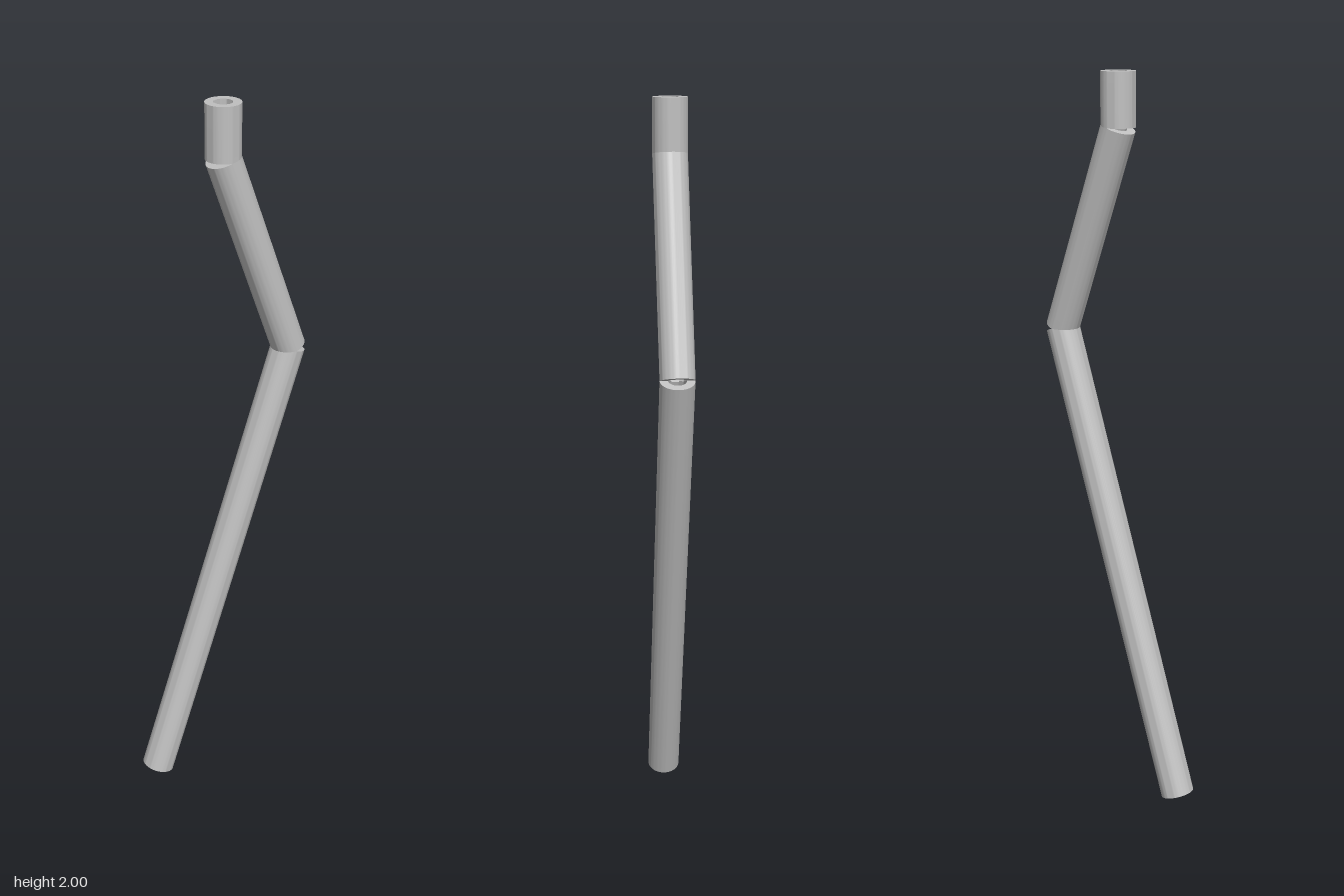
import * as THREE from 'three';
import { toCreasedNormals } from 'three/addons/utils/BufferGeometryUtils.js';

const OUTER = 0.046;
const INNER = 0.024;

// Hollow straight pipe with square-cut ends, running from a to b
function pipe(name, a, b, material) {
  const dir = b.clone().sub(a);
  const len = dir.length();
  const profile = [[OUTER, 0], [OUTER, len], [INNER, len], [INNER, 0], [OUTER, 0]]
    .map(([r, y]) => new THREE.Vector2(r, y));
  const geometry = toCreasedNormals(new THREE.LatheGeometry(profile, 64), Math.PI / 4);
  const mesh = new THREE.Mesh(geometry, material);
  mesh.name = name;
  mesh.position.copy(a);
  mesh.quaternion.setFromUnitVectors(new THREE.Vector3(0, 1, 0), dir.normalize());
  return mesh;
}

export function createModel() {
  const group = new THREE.Group();
  group.name = 'bentPipe';
  const metal = new THREE.MeshStandardMaterial({ color: 0xc0c0c0 });
  metal.name = 'light grey metal';

  // Centreline joints, bottom to top
  const foot = new THREE.Vector3(-0.055, 0.014, 0.202);
  const elbow = new THREE.Vector3(0.055, 1.307, -0.203);
  const neck = new THREE.Vector3(0.003, 1.858, -0.01);
  const top = new THREE.Vector3(0.003, 2, -0.01);

  // Square-cut sections meet on the centreline, leaving a notch outside each bend
  group.add(
    pipe('lowerPipe', foot, elbow, metal),
    pipe('middlePipe', elbow, neck, metal),
    pipe('topPipe', neck, top, metal)
  );
  return group;
}
